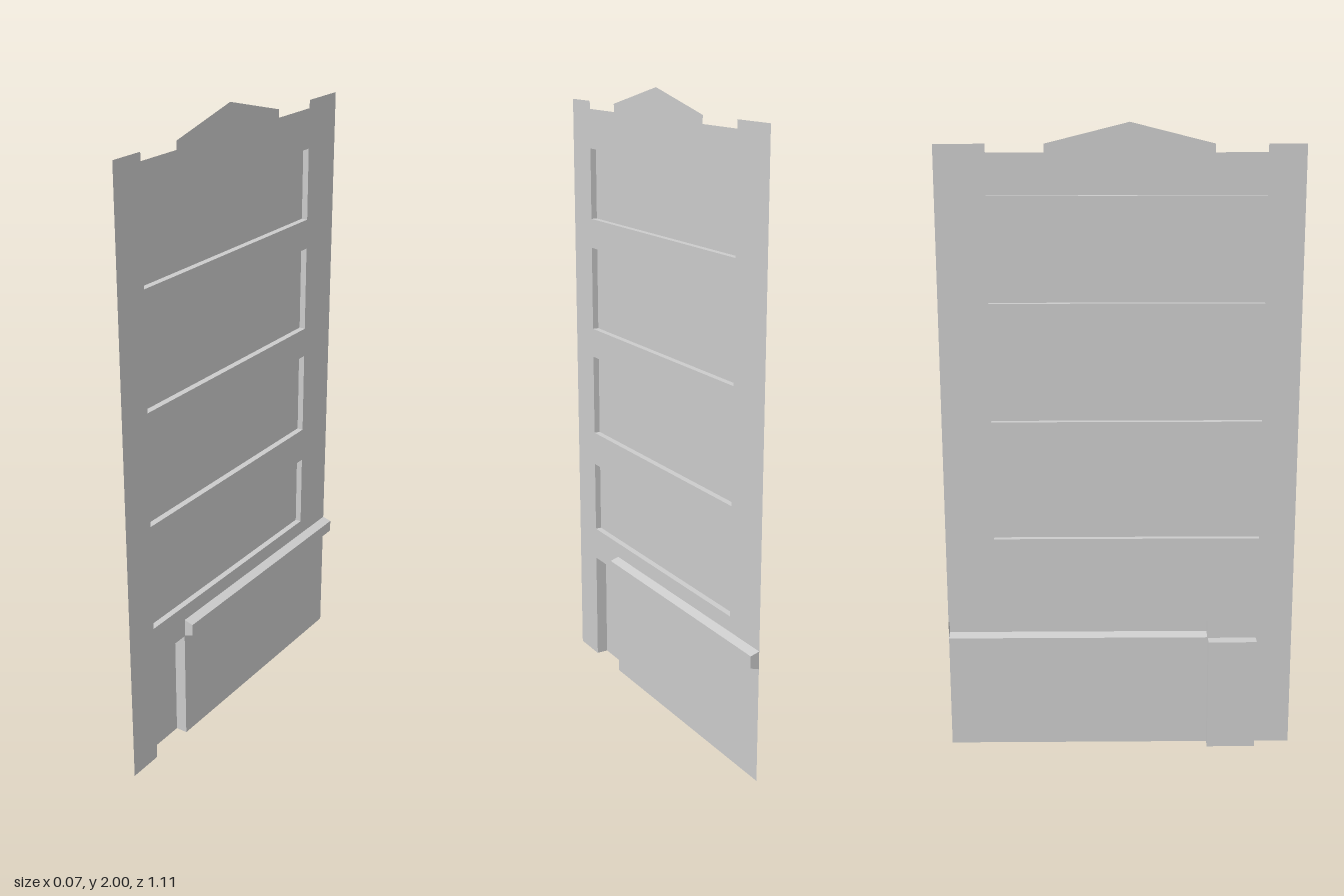
import * as THREE from 'three';

// Drawn in a flat plane: u = -z (along the width), v = y, depth = x.
const HALF = 0.555, SHEET_X = 0.004;
const material = new THREE.MeshStandardMaterial({ color: 0xcccccc, side: THREE.DoubleSide, flatShading: true });

// Panel rectangles share their width; only the heights differ.
const PANEL_U = [-0.44, 0.4];
const PANEL_V = [[0.477, 0.715], [0.828, 1.096], [1.192, 1.465], [1.56, 1.787]];
const NICHE = { u: [-0.44, -0.284], v: [0, 0.368] };
const RAIL = { u: [-0.282, HALF], v: [0.37, 0.427] };

function rectPoints([u0, u1], [v0, v1]) {
  return [[u0, v0], [u1, v0], [u1, v1], [u0, v1]];
}

// Pressed form: four side walls and a floor at the given depth; insets slope the lower and upper walls.
function pressedGeometry(u, v, depth, { lower = 0, upper = 0, openBottom = false } = {}) {
  const rim = rectPoints(u, v).map(([a, b]) => [a, b, 0]);
  const floor = rectPoints(u, [v[0] + lower, v[1] - upper]).map(([a, b]) => [a, b, depth]);
  const positions = [];
  const quad = (a, b, c, d) => positions.push(...a, ...b, ...c, ...a, ...c, ...d);
  quad(...floor);
  for (let i = openBottom ? 1 : 0; i < 4; i++) {
    const j = (i + 1) % 4;
    quad(rim[i], rim[j], floor[j], floor[i]);
  }
  const geometry = new THREE.BufferGeometry();
  geometry.setAttribute('position', new THREE.Float32BufferAttribute(positions, 3));
  geometry.computeVertexNormals();
  return geometry;
}

function sheetGeometry() {
  const [n0, n1] = NICHE.u, [r0] = RAIL.u, [rLow, rHigh] = RAIL.v;
  const outline = [
    // bottom edge with the niche cut out
    [-HALF, 0], [n0, 0], [n0, NICHE.v[1]], [n1, NICHE.v[1]], [n1, 0], [HALF, 0],
    // rail opening, reaching the side edge
    [HALF, rLow], [r0, rLow], [r0, rHigh], [HALF, rHigh],
    // stepped top with a central gable
    [HALF, 1.937], [0.4, 1.937], [0.4, 1.912], [0.227, 1.912], [0.227, 1.937],
    [-0.028, 2], [-0.283, 1.937], [-0.283, 1.912], [-0.44, 1.912], [-0.44, 1.937], [-HALF, 1.937],
  ];
  const toVectors = (points) => points.map(([a, b]) => new THREE.Vector2(a, b));
  const shape = new THREE.Shape(toVectors(outline));
  for (const v of PANEL_V) shape.holes.push(new THREE.Path(toVectors(rectPoints(PANEL_U, v).reverse())));
  return new THREE.ShapeGeometry(shape);
}

export function createModel() {
  const wall = new THREE.Group();
  wall.name = 'panelledWall';
  const add = (name, geometry) => {
    const mesh = new THREE.Mesh(geometry, material);
    mesh.name = name;
    wall.add(mesh);
  };

  add('wallSheet', sheetGeometry());
  PANEL_V.forEach((v, i) => add(`recessedPanel${i + 1}`, pressedGeometry(PANEL_U, v, -0.02)));
  add('baseNiche', pressedGeometry(NICHE.u, NICHE.v, -0.038, { openBottom: true }));
  add('chairRail', pressedGeometry(RAIL.u, RAIL.v, 0.03, { lower: 0.01, upper: 0.008 }));

  // Turn the drawing plane to face +x.
  wall.rotation.y = Math.PI / 2;
  wall.position.x = SHEET_X;

  const model = new THREE.Group();
  model.name = 'model';
  model.add(wall);
  return model;
}
